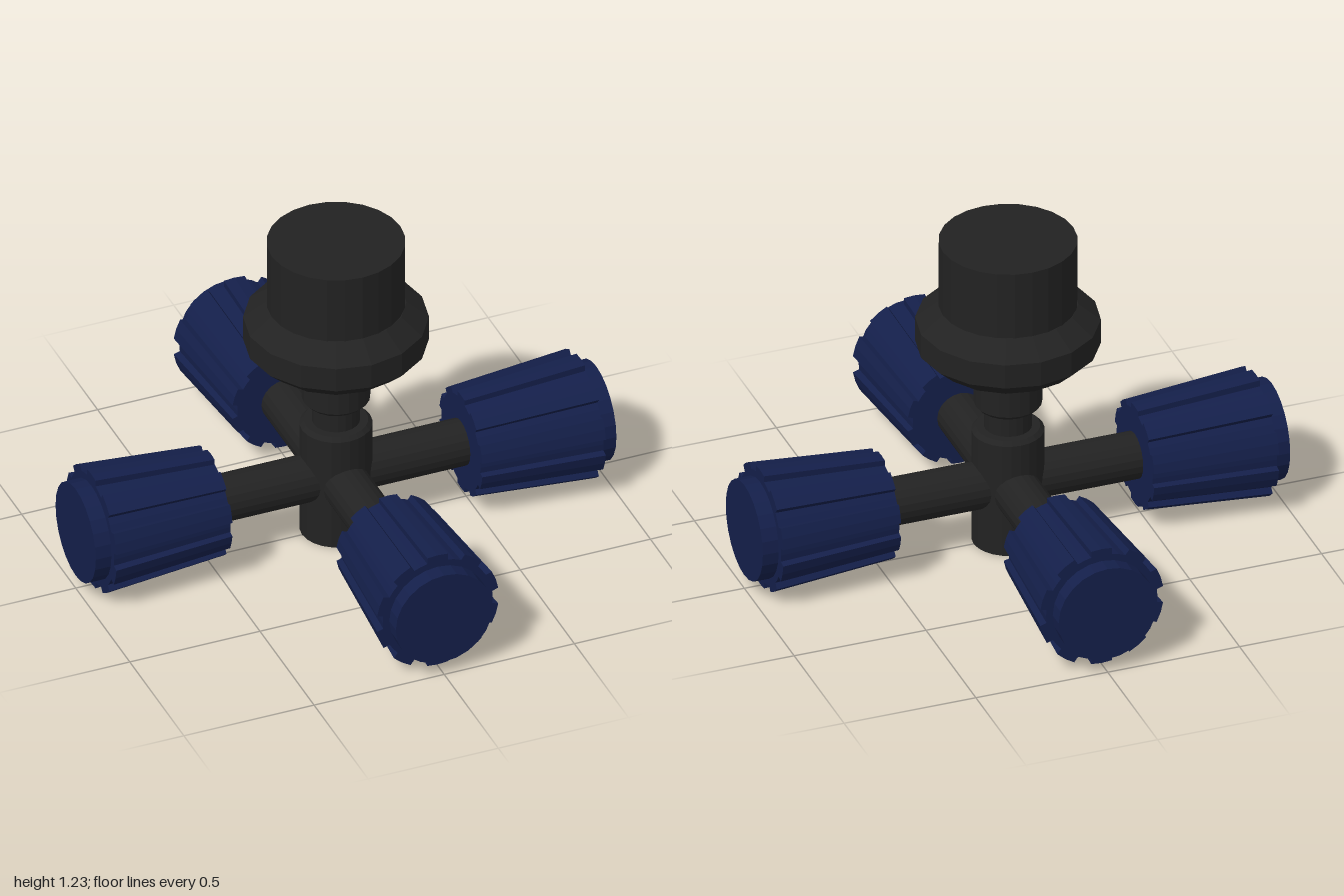
import * as THREE from 'three';

const AXIS_Y = 0.24;
const black = new THREE.MeshStandardMaterial({ color: 0x222222, flatShading: true });
const navy = new THREE.MeshStandardMaterial({ color: 0x141f4a, flatShading: true });

function part(name, geometry, material) {
  const mesh = new THREE.Mesh(geometry, material);
  mesh.name = name;
  return mesh;
}

// Solid of revolution about y from [radius, height] pairs, bottom to top
function turned(name, profile, sides, material) {
  const points = profile.map(([r, y]) => new THREE.Vector2(r, y));
  return part(name, new THREE.LatheGeometry(points, sides), material);
}

// Ribbed grip: a toothed section that widens towards +z
function gripGeometry(length, outer, inner, narrow, teeth) {
  const shape = new THREE.Shape();
  const step = (Math.PI * 2) / teeth;
  for (let i = 0; i < teeth; i++) {
    const mid = Math.PI / 2 + i * step;
    const corners = [[-0.3, inner], [-0.27, outer], [0, outer], [0.27, outer], [0.3, inner], [0.5, inner]];
    corners.forEach(([t, r], k) => {
      const a = mid + t * step;
      const x = r * Math.cos(a), y = r * Math.sin(a);
      if (i === 0 && k === 0) shape.moveTo(x, y);
      else shape.lineTo(x, y);
    });
  }
  const geo = new THREE.ExtrudeGeometry(shape, { depth: length, bevelEnabled: false });
  const pos = geo.attributes.position;
  for (let i = 0; i < pos.count; i++) {
    const s = THREE.MathUtils.lerp(narrow, 1, pos.getZ(i) / length);
    pos.setXY(i, pos.getX(i) * s, pos.getY(i) * s);
  }
  geo.computeVertexNormals();
  return geo;
}

export function createModel() {
  const model = new THREE.Group();
  model.name = 'fourWayNozzle';

  // Central hub with a slightly chamfered top
  model.add(turned('hub', [[0, 0], [0.13, 0], [0.13, 0.45], [0.115, 0.465], [0, 0.465]], 24, black));

  // Stem: thin neck, then a thicker collar
  model.add(turned('neck', [[0, 0.44], [0.086, 0.44], [0.086, 0.57], [0, 0.57]], 20, black));
  model.add(turned('stemCollar', [[0, 0.55], [0.108, 0.55], [0.122, 0.565], [0.122, 0.77], [0, 0.77]], 20, black));

  // Bevelled flange and the inlet cap above it
  model.add(turned('flange', [[0, 0.75], [0.265, 0.75], [0.33, 0.81], [0.33, 0.905], [0.25, 0.968], [0, 0.968]], 16, black));
  model.add(turned('inletCap', [[0, 0.95], [0.247, 0.95], [0.247, 1.23], [0, 1.23]], 24, black));

  // Four arms, each with a ribbed nozzle
  const armGeo = new THREE.CylinderGeometry(0.087, 0.087, 0.52, 20).rotateX(Math.PI / 2).translate(0, 0, 0.26);
  const gripGeo = gripGeometry(0.46, 0.235, 0.211, 0.85, 10).translate(0, 0, 0.48);
  const tipGeo = new THREE.CylinderGeometry(0.186, 0.186, 0.1, 24).rotateX(Math.PI / 2).translate(0, 0, 0.95);
  ['front', 'left', 'back', 'right'].forEach((side, i) => {
    const arm = new THREE.Group();
    arm.name = side + 'Arm';
    arm.add(part(side + 'Pipe', armGeo, black));
    arm.add(part(side + 'Grip', gripGeo, navy));
    arm.add(part(side + 'Tip', tipGeo, navy));
    arm.position.y = AXIS_Y;
    arm.rotation.y = (i * Math.PI) / 2;
    model.add(arm);
  });

  return model;
}
